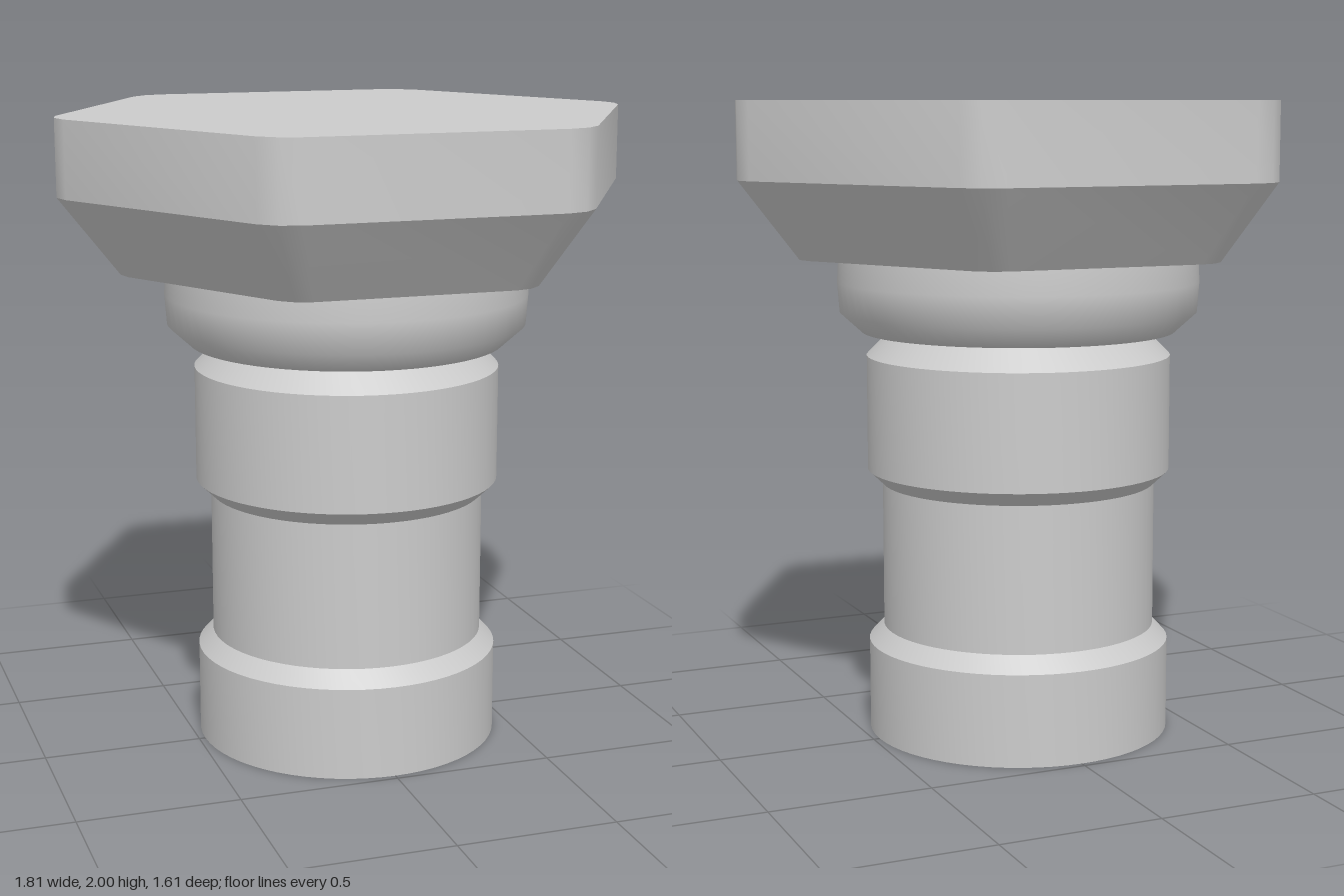
import * as THREE from 'three';
import { toCreasedNormals } from 'three/addons/utils/BufferGeometryUtils.js';

const material = new THREE.MeshStandardMaterial({ color: 0xcccccc });

function part(name, geometry) {
  const mesh = new THREE.Mesh(geometry, material);
  mesh.name = name;
  return mesh;
}

const lathe = (points) =>
  new THREE.LatheGeometry(points.map(([r, y]) => new THREE.Vector2(r, y)), 64);

// Hexagonal head: eased corners, straight upper band, tapered underside
function headGeometry() {
  const outline = [];
  for (let i = 0; i < 6; i++) {
    for (const [da, r] of [[-4.2, 0.892], [0, 0.905], [4.2, 0.892]]) {
      const a = THREE.MathUtils.degToRad(i * 60 + da);
      outline.push(new THREE.Vector2(r * Math.cos(a), r * Math.sin(a)));
    }
  }
  const bottom = 1.525, shoulder = 1.765, top = 2;
  const geo = new THREE.ExtrudeGeometry(new THREE.Shape(outline), {
    depth: 2, steps: 2, bevelEnabled: false,
  });
  geo.rotateX(-Math.PI / 2);
  const pos = geo.attributes.position;
  for (let i = 0; i < pos.count; i++) {
    const level = Math.round(pos.getY(i));
    const s = level === 0 ? 0.793 : 1;
    pos.setXYZ(i, pos.getX(i) * s, [bottom, shoulder, top][level], pos.getZ(i) * s);
  }
  return toCreasedNormals(geo, 0.5);
}

export function createModel() {
  const model = new THREE.Group();
  model.name = 'hexHeadPin';

  model.add(part('hexHead', headGeometry()));

  // Softly rounded collar below the head, with a flat underside
  model.add(part('collar', lathe([
    [0.495, 1.283], [0.563, 1.345], [0.57, 1.44], [0.565, 1.525],
  ])));
  model.add(part('collarUnderside', lathe([[0.41, 1.283], [0.495, 1.283]])));

  // Stepped shaft with chamfered shoulders
  model.add(part('shaft', toCreasedNormals(lathe([
    [0, 0], [0.48, 0], [0.48, 0.29], [0.433, 0.34], [0.433, 0.8],
    [0.48, 0.845], [0.48, 1.207], [0.405, 1.283],
  ]), 0.5)));

  return model;
}
